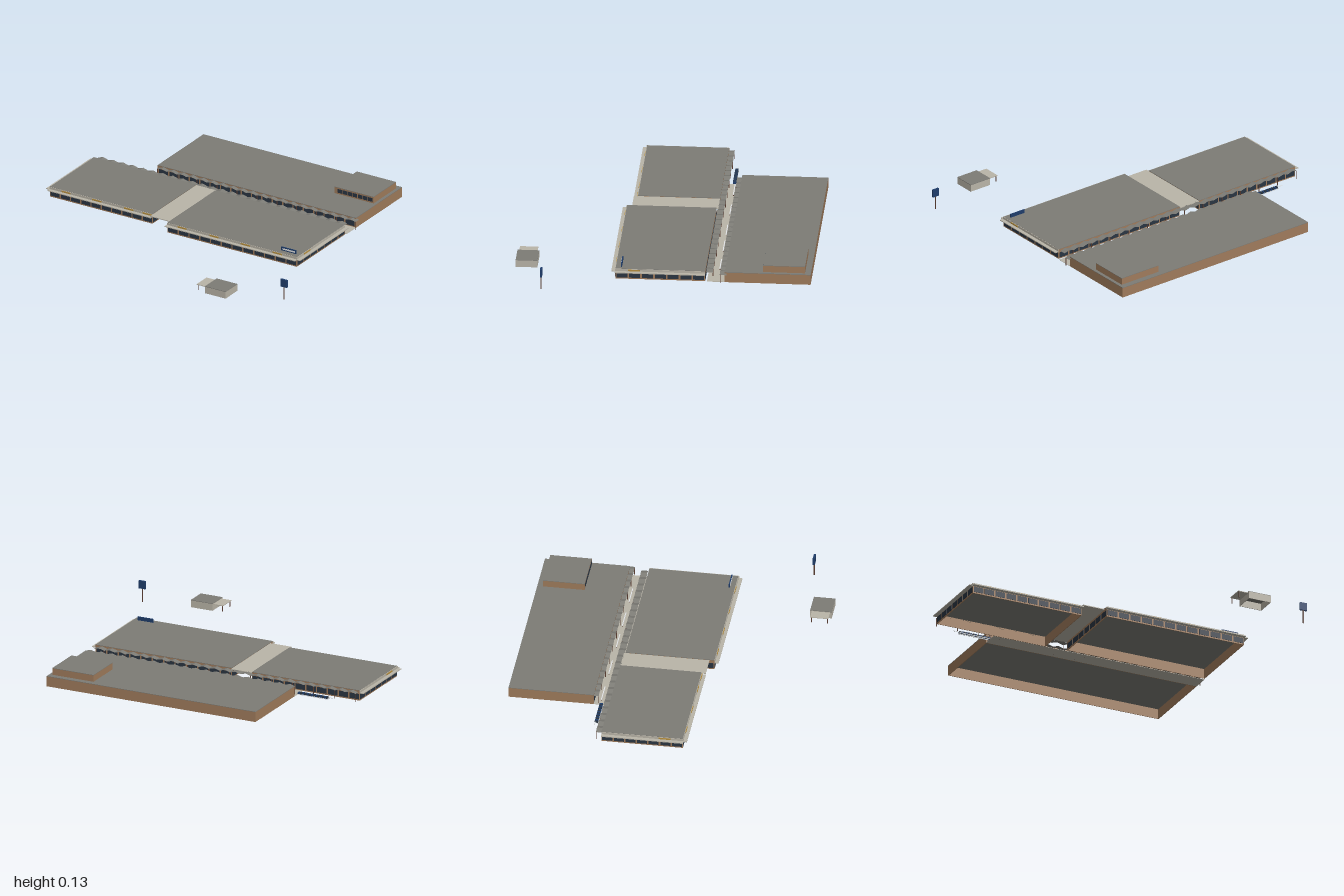
import * as THREE from 'three';

const mat = (name, color) => {
  const m = new THREE.MeshStandardMaterial({ color });
  m.name = name;
  return m;
};

export function createModel() {
  const roofGrey = mat('roof grey', 0x7d7c76);
  const beige = mat('pale concrete', 0xbab5a8);
  const brick = mat('brown brick', 0xa07c5c);
  const glass = mat('dark glass', 0x2a3542);
  const gold = mat('gold', 0xb8903f);
  const navy = mat('navy', 0x1f3d6b);
  const post = mat('dark brown', 0x5e4034);
  const white = mat('white', 0xe4e6e8);
  const folded = roofGrey.clone();
  folded.name = 'folded roof grey';
  folded.side = THREE.DoubleSide;

  const root = new THREE.Group();
  root.name = 'shoppingCentre';

  // Box given by its lower and upper limits on each axis
  const box = (parent, name, m, x0, x1, y0, y1, z0, z1) => {
    const mesh = new THREE.Mesh(new THREE.BoxGeometry(x1 - x0, y1 - y0, z1 - z0), m);
    mesh.position.set((x0 + x1) / 2, (y0 + y1) / 2, (z0 + z1) / 2);
    mesh.name = name;
    parent.add(mesh);
    return mesh;
  };
  const group = (name) => {
    const g = new THREE.Group();
    g.name = name;
    root.add(g);
    return g;
  };

  // Four thin walls under a flat roof, open at the bottom
  const T = 0.004;
  const shell = (name, wall, x0, x1, y0, y1, z0, z1) => {
    const g = group(name);
    const top = y1 - 0.003;
    box(g, 'frontWall', wall, x0, x1, y0, top, z1 - T, z1);
    box(g, 'backWall', wall, x0, x1, y0, top, z0, z0 + T);
    box(g, 'rightWall', wall, x0, x0 + T, y0, top, z0 + T, z1 - T);
    box(g, 'leftWall', wall, x1 - T, x1, y0, top, z0 + T, z1 - T);
    box(g, 'roof', roofGrey, x0, x1, top, y1, z0, z1);
    return g;
  };

  // Row of thin windows along x or z, centred on the plane at `at`
  const windows = (g, axis, from, to, at, count, y0, y1, depth = 0.004) => {
    const pitch = (to - from) / count;
    for (let i = 0; i < count; i++) {
      const a = from + pitch * (i + 0.07), b = from + pitch * (i + 0.93);
      if (axis === 'x') box(g, 'window', glass, a, b, y0, y1, at - depth / 2, at + depth / 2);
      else box(g, 'window', glass, at - depth / 2, at + depth / 2, y0, y1, a, b);
    }
  };

  // Two front shop blocks with fascia, street canopies and windows on every side
  const shopBlock = (name, x0, x1, z0, z1, nx, nz, outer) => {
    const g = shell(name, brick, x0, x1, 0, 0.065, z0, z1);
    windows(g, 'x', x0, x1, z1, nx, 0.008, 0.042);
    windows(g, 'x', x0, x1, z0, nx, 0.008, 0.042);
    windows(g, 'z', z0, z1, x0, nz, 0.008, 0.042);
    windows(g, 'z', z0, z1, x1, nz, 0.008, 0.042);
    const e = 0.003;
    box(g, 'frontFascia', beige, x0 - e, x1 + e, 0.05, 0.064, z1, z1 + e);
    box(g, 'frontCanopy', beige, x0 - 0.004, x1 + 0.002, 0.045, 0.05, z1, z1 + 0.025);
    const s = outer < 0 ? x0 : x1;
    box(g, 'sideFascia', beige, s - (outer < 0 ? e : 0), s + (outer > 0 ? e : 0), 0.05, 0.064, z0, z1);
    box(g, 'sideCanopy', beige, s - (outer < 0 ? 0.025 : 0), s + (outer > 0 ? 0.025 : 0), 0.045, 0.05, z0, z1 + 0.005);
    return g;
  };
  const west = shopBlock('westShops', -0.975, -0.255, -0.265, 0.225, 10, 7, -1);
  const east = shopBlock('eastShops', -0.115, 0.795, -0.255, 0.28, 12, 7, 1);

  // Gold sign plates on the fascias
  for (const x of [-0.86, -0.645, -0.42, -0.29]) {
    box(west, 'fasciaSign', gold, x - 0.032, x + 0.032, 0.052, 0.061, 0.228, 0.231);
  }
  for (const x of [-0.01, 0.215, 0.435, 0.66]) {
    box(east, 'fasciaSign', gold, x - 0.032, x + 0.032, 0.052, 0.061, 0.283, 0.286);
  }
  box(east, 'fasciaSign', gold, 0.798, 0.801, 0.052, 0.061, 0.135, 0.205);
  box(west, 'fasciaSign', gold, -0.981, -0.978, 0.052, 0.061, 0.08, 0.15);

  // Roof over the passage between the shop blocks
  box(root, 'passageRoof', beige, -0.255, -0.115, 0.056, 0.061, -0.265, 0.25);

  // Large rear store with windows along the walkway
  const store = shell('rearStore', brick, -0.595, 0.8, 0, 0.065, -0.885, -0.372);
  windows(store, 'x', -0.59, 0.795, -0.374, 19, 0.008, 0.042, 0.007);

  // Upper storey on the rear store
  const upper = shell('upperStorey', brick, 0.505, 0.78, 0.065, 0.108, -0.85, -0.6);
  windows(upper, 'x', 0.525, 0.775, -0.6, 7, 0.074, 0.098);

  // Paved walkway between the store and the shops
  box(root, 'walkway', beige, -0.595, 0.8, 0, 0.002, -0.372, -0.266);

  // Folded-plate canopies on posts along the walkway
  const foldedCanopy = (name, x0, x1, z0, z1, postZ) => {
    const g = group(name);
    const folds = Math.round((x1 - x0) / 0.07);
    const geo = new THREE.PlaneGeometry(x1 - x0, z1 - z0, folds * 2, 1).toNonIndexed();
    geo.rotateX(-Math.PI / 2);
    const p = geo.attributes.position;
    const half = (x1 - x0) / folds / 2;
    for (let i = 0; i < p.count; i++) {
      const k = Math.round((p.getX(i) + (x1 - x0) / 2) / half);
      p.setY(i, k % 2 ? 0.062 : 0.052);
    }
    geo.computeVertexNormals();
    const mesh = new THREE.Mesh(geo, folded);
    mesh.position.set((x0 + x1) / 2, 0, (z0 + z1) / 2);
    mesh.name = 'foldedRoof';
    g.add(mesh);
    for (let k = 0; k <= folds; k += 2) {
      const x = Math.min(x0 + k * half * 2 + 0.004, x1 - 0.004);
      box(g, 'canopyPost', post, x - 0.002, x + 0.002, 0, 0.053, postZ - 0.002, postZ + 0.002);
    }
  };
  foldedCanopy('shopsCanopy', -0.965, 0.785, -0.3, -0.26, -0.296);
  foldedCanopy('storeCanopy', -0.585, 0.815, -0.383, -0.343, -0.347);

  // Benches along the middle of the walkway
  for (const x of [-0.49, -0.21, 0.08, 0.31, 0.57]) {
    const g = group('bench');
    box(g, 'seat', white, x - 0.07, x + 0.07, 0.011, 0.014, -0.334, -0.328);
    for (const s of [-0.06, 0.06]) {
      box(g, 'leg', post, x + s - 0.002, x + s + 0.002, 0.002, 0.011, -0.333, -0.329);
    }
  }

  // Row of trolleys beyond the walkway
  const row = group('trolleyRow');
  for (let i = 0; i < 14; i++) {
    const x = -0.795 + i * 0.0145;
    box(row, 'trolley', i % 2 ? navy : glass, x, x + 0.01, 0.004, 0.014, -0.335, -0.315);
  }
  for (const z of [-0.334, -0.316]) box(row, 'rail', white, -0.8, -0.6, 0, 0.004, z - 0.002, z + 0.002);
  box(row, 'endRail', white, -0.83, -0.8, 0.011, 0.014, -0.332, -0.329);

  // Rooftop sign near the front corner
  const sign = group('roofSign');
  box(sign, 'signBoard', navy, 0.665, 0.77, 0.065, 0.088, 0.243, 0.249);
  box(sign, 'signPanel', white, 0.674, 0.761, 0.072, 0.081, 0.249, 0.251);

  // Free-standing pylon sign
  const pylon = group('pylonSign');
  box(pylon, 'pole', post, 0.972, 0.978, 0, 0.085, 0.707, 0.713);
  box(pylon, 'panel', navy, 0.953, 0.998, 0.083, 0.132, 0.704, 0.716);

  // Kiosk with a side canopy on two posts
  const kiosk = shell('kiosk', beige, 0.53, 0.675, 0, 0.046, 0.755, 0.885);
  box(kiosk, 'kioskCanopy', beige, 0.465, 0.53, 0.036, 0.04, 0.765, 0.875);
  for (const z of [0.772, 0.868]) {
    box(kiosk, 'kioskPost', post, 0.47, 0.474, 0, 0.036, z - 0.002, z + 0.002);
  }

  return root;
}
